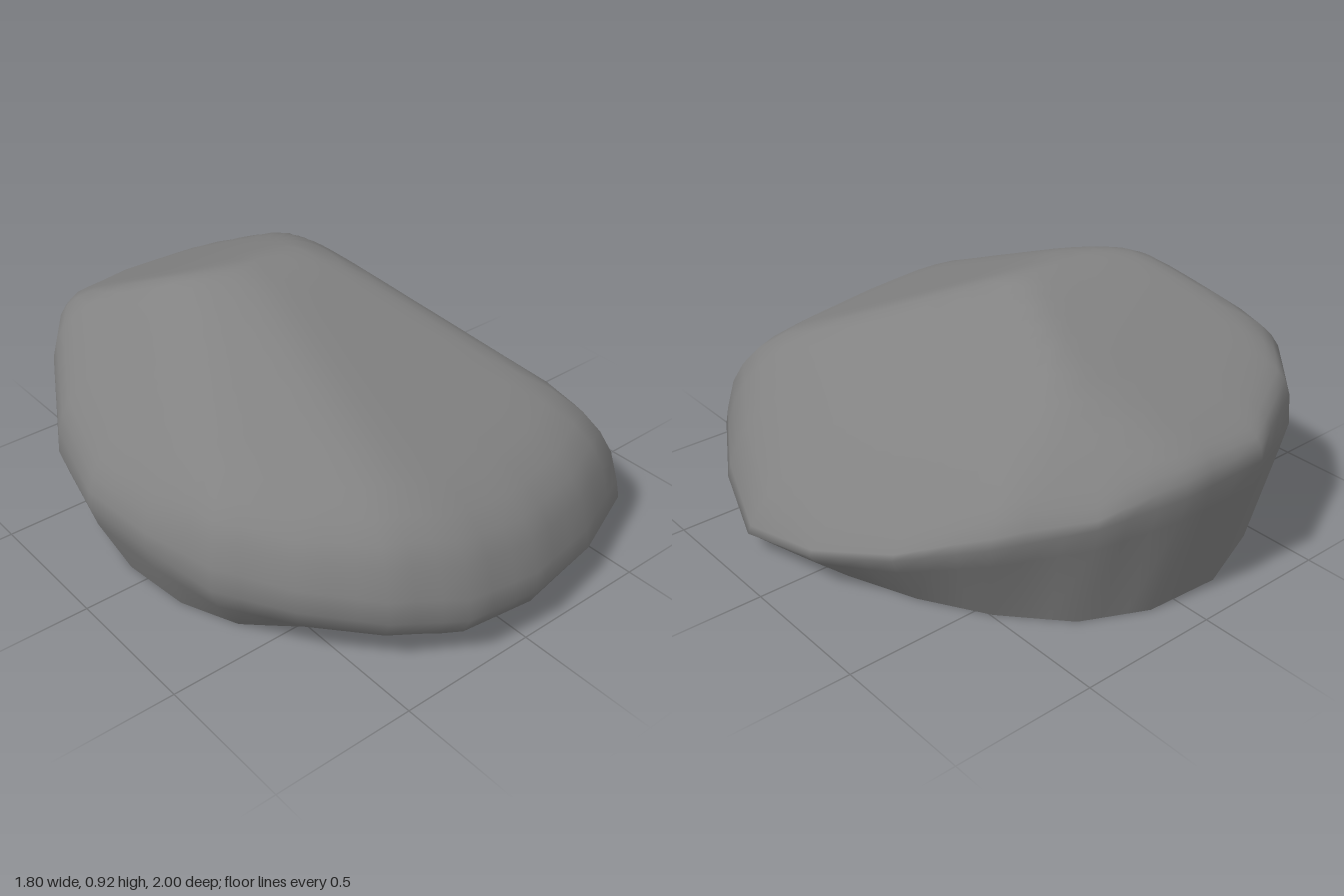
import * as THREE from 'three';

// Widest outline of the boulder: x, z, height of the widest point, base inset factor
const OUTLINE = [
  [-0.2, -1, 0.5, 0.87], [0.11, -0.98, 0.48, 0.87], [0.37, -0.88, 0.43, 0.85], [0.61, -0.68, 0.36, 0.81],
  [0.77, -0.41, 0.25, 0.81], [0.87, -0.1, 0.15, 0.83], [0.9, 0.23, 0.08, 0.83], [0.78, 0.56, 0.1, 0.84],
  [0.63, 0.82, 0.15, 0.82], [0.34, 0.94, 0.15, 0.84], [0.04, 1, 0.17, 0.85], [-0.24, 0.98, 0.19, 0.83],
  [-0.47, 0.87, 0.23, 0.78], [-0.67, 0.68, 0.26, 0.76], [-0.82, 0.46, 0.28, 0.81], [-0.88, 0.2, 0.31, 0.85],
  [-0.9, -0.1, 0.31, 0.86], [-0.83, -0.4, 0.33, 0.87], [-0.69, -0.65, 0.4, 0.89], [-0.5, -0.86, 0.46, 0.89],
];
const STEPS = 3; // subdivisions of each outline edge
const CENTRE = { x: -0.14, z: -0.18 };

// Upper surface: soft minimum of the worn facets
function height(x, z) {
  const u = (z - x) * Math.SQRT1_2; // diagonal towards -x, +z
  const facets = [
    0.935 - 0.07 * (x + 0.1),     // crown
    0.862 - 0.435 * z - 0.09 * x, // front slope
    1.055 + 0.485 * z,            // upper back slope
    1.0 + 0.37 * z - 0.06 * x,    // lower back slope
    1.02 - 0.945 * x,             // +x slope
    1.34 + 1.03 * x,              // -x slope
    0.975 - 0.52 * u,             // worn corner at -x, +z
    1.36 + 1.0 * u,               // worn corner at +x, -z
  ];
  const k = 0.022;
  return -k * Math.log(facets.reduce((sum, f) => sum + Math.exp(-f / k), 0));
}

// Rim rounding: inward scale and how far the surface has risen to the facets
const UPPER = [
  [0.99, 0.38], [0.965, 0.72], [0.93, 0.87], [0.88, 0.96], [0.8, 1], [0.7, 1], [0.6, 1],
  [0.5, 1], [0.41, 1], [0.33, 1], [0.25, 1], [0.17, 1], [0.09, 1],
];

function outlinePoints() {
  const points = [];
  OUTLINE.forEach((a, i) => {
    const b = OUTLINE[(i + 1) % OUTLINE.length];
    for (let s = 0; s < STEPS; s++) points.push(a.map((v, j) => v + (b[j] - v) * s / STEPS));
  });
  return points;
}

function boulderGeometry(outline) {
  const n = outline.length;
  const rings = [];
  // Underside flare from the base to the widest line
  rings.push(outline.map(([x, z, , inset]) => [x * inset, 0, z * inset]));
  rings.push(outline.map(([x, z, y, inset]) => {
    const r = inset + (1 - inset) * 0.8;
    return [x * r, y * (0.72 - 0.08 * z), z * r];
  }));
  rings.push(outline.map(([x, z, y]) => [x, y, z]));
  // Faceted upper surface, with a tighter rim at the back than at the front
  for (const [scale, rise] of UPPER) {
    rings.push(outline.map(([x, z, y]) => {
      const px = CENTRE.x + (x - CENTRE.x) * scale;
      const pz = CENTRE.z + (z - CENTRE.z) * scale;
      const lift = Math.max(height(px, pz) - y, 0);
      return [px, y + lift * Math.pow(rise, 1 + 0.4 * z + 0.2 * x), pz];
    }));
  }
  const position = rings.flat(2);
  position.push(CENTRE.x, height(CENTRE.x, CENTRE.z), CENTRE.z);

  const index = [];
  const last = rings.length - 1;
  for (let i = 0; i < n; i++) {
    const j = (i + 1) % n;
    for (let r = 0; r < last; r++) {
      const a = r * n + i, b = r * n + j, c = a + n, d = b + n;
      index.push(a, c, b, b, c, d);
    }
    index.push(last * n + i, rings.length * n, last * n + j);
  }
  const geometry = new THREE.BufferGeometry();
  geometry.setAttribute('position', new THREE.Float32BufferAttribute(position, 3));
  geometry.setIndex(index);
  geometry.computeVertexNormals();
  return geometry;
}

export function createModel() {
  const group = new THREE.Group();
  group.name = 'boulder';
  const material = new THREE.MeshStandardMaterial({ color: 0x828282 });
  const outline = outlinePoints();

  const body = new THREE.Mesh(boulderGeometry(outline), material);
  body.name = 'boulderBody';
  group.add(body);

  // Flat underside, facing down
  const shape = new THREE.Shape(outline.map(([x, z, , inset]) => new THREE.Vector2(x * inset, z * inset)));
  const base = new THREE.Mesh(new THREE.ShapeGeometry(shape), material);
  base.name = 'flatBase';
  base.rotation.x = Math.PI / 2;
  group.add(base);

  return group;
}
